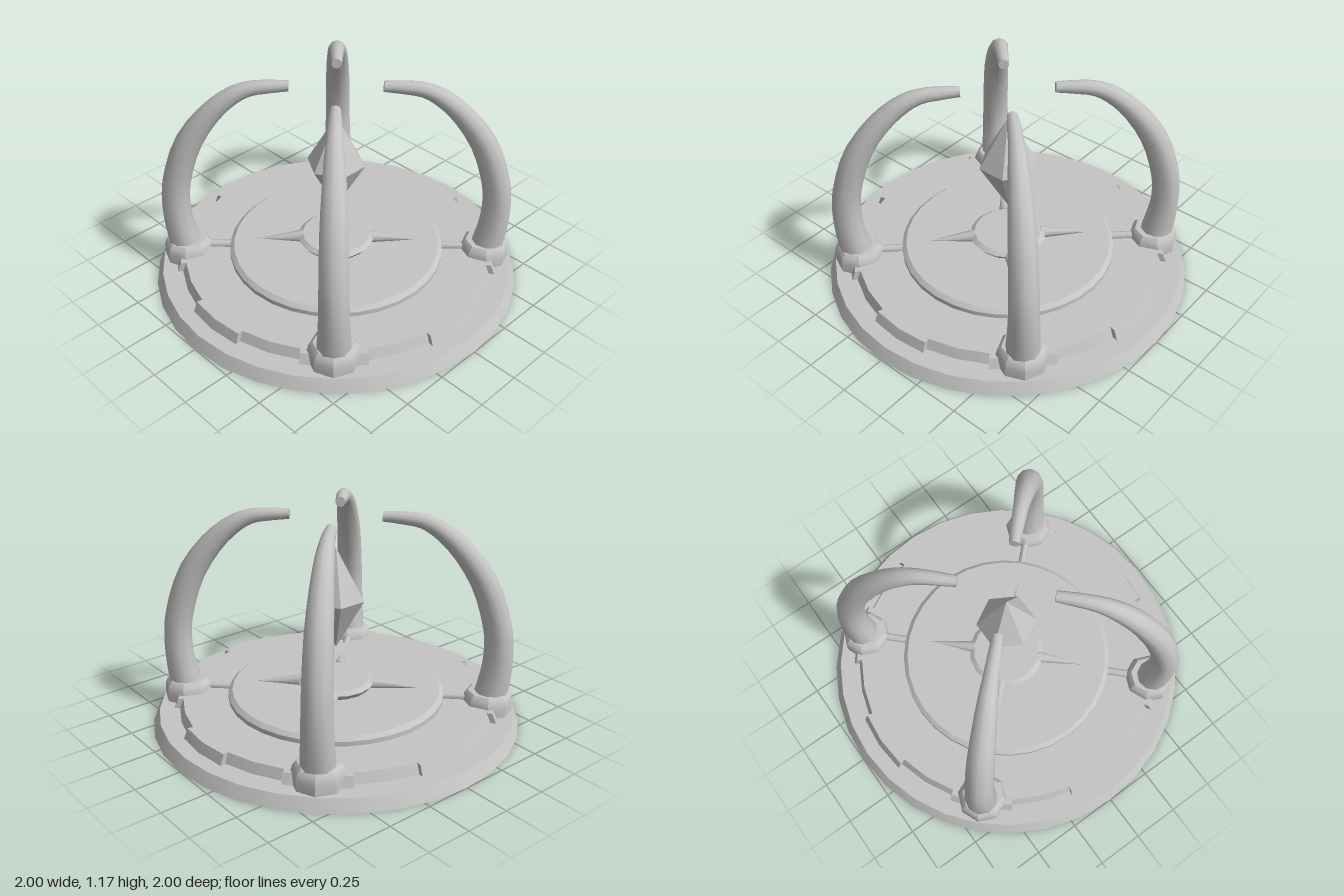
import * as THREE from 'three';
import { toCreasedNormals } from 'three/addons/utils/BufferGeometryUtils.js';

const V2 = (x, y) => new THREE.Vector2(x, y);
const stone = new THREE.MeshStandardMaterial({ color: 0xc4c4c4 });
stone.name = 'pale stone grey';

function mesh(name, geometry, parent) {
  const m = new THREE.Mesh(geometry, stone);
  m.name = name;
  parent.add(m);
  return m;
}

function turned(points, sides) {
  const g = new THREE.LatheGeometry(points.map(p => V2(p[0], p[1])), sides);
  return toCreasedNormals(g, 0.5);
}

// Middle step: a disc whose rim alternates between two radii, leaning inwards
function notchedDisc() {
  const outline = [];
  for (let k = 0; k < 16; k++) {
    const r = k % 2 ? 0.855 : 0.885;
    for (const d of [-0.5, 0, 0.5]) {
      const a = (k + d) * Math.PI / 8;
      outline.push(V2(Math.cos(a) * r, Math.sin(a) * r));
    }
  }
  const g = new THREE.ExtrudeGeometry(new THREE.Shape(outline), { depth: 0.055, bevelEnabled: false });
  g.rotateX(-Math.PI / 2);
  const p = g.attributes.position;
  for (let i = 0; i < p.count; i++) {
    if (p.getY(i) > 0.03) p.setXYZ(i, p.getX(i) * 0.975, p.getY(i), p.getZ(i) * 0.975);
  }
  return toCreasedNormals(g, 0.5);
}

// Curved tapering arm in the xy plane; each control point is (reach, height, thickness)
function armGeometry() {
  const path = new THREE.CatmullRomCurve3([
    [0.835, 0.12, 0.092], [0.865, 0.30, 0.082], [0.868, 0.45, 0.077], [0.85, 0.57, 0.075],
    [0.775, 0.79, 0.071], [0.65, 0.97, 0.06], [0.53, 1.075, 0.049], [0.44, 1.117, 0.04],
    [0.34, 1.13, 0.035], [0.24, 1.135, 0.028],
  ].map(p => new THREE.Vector3(...p)));
  const steps = 22, sides = 10, pos = [], idx = [];
  for (let i = 0; i <= steps; i++) {
    const c = path.getPoint(i / steps), t = path.getTangent(i / steps);
    const l = Math.hypot(t.x, t.y);
    for (let j = 0; j < sides; j++) {
      const a = j / sides * Math.PI * 2, n = Math.cos(a) * c.z;
      pos.push(c.x - t.y / l * n, c.y + t.x / l * n, Math.sin(a) * c.z);
      if (i < steps) {
        const p = i * sides + j, q = i * sides + (j + 1) % sides;
        idx.push(p, q, p + sides, q, q + sides, p + sides);
      }
    }
  }
  // Flat end at the tip
  const last = steps * sides, tip = path.getPoint(1);
  pos.push(tip.x, tip.y, 0);
  for (let j = 0; j < sides; j++) idx.push(last + sides, last + j, last + (j + 1) % sides);
  const g = new THREE.BufferGeometry();
  g.setAttribute('position', new THREE.Float32BufferAttribute(pos, 3));
  g.setIndex(idx);
  return toCreasedNormals(g, 0.8);
}

export function createModel() {
  const model = new THREE.Group();
  model.name = 'crystalShrine';

  // Stepped round platform
  const platform = new THREE.Group();
  platform.name = 'platform';
  model.add(platform);
  mesh('baseDisc', turned([[0, 0], [1, 0], [0.965, 0.065], [0, 0.065]], 32), platform);
  mesh('notchedStep', notchedDisc(), platform).position.y = 0.065;
  mesh('innerStep', turned([[0.59, 0.115], [0.59, 0.145], [0.567, 0.165], [0, 0.165]], 32), platform);
  mesh('centreBoss', turned([[0.18, 0.16], [0.21, 0.197], [0.185, 0.216], [0, 0.218]], 16), platform);

  // Four arms on the diagonals, with collar, rail and pointer
  const arm = armGeometry();
  const collar = turned([[0.135, 0.065], [0.135, 0.12], [0.125, 0.155], [0.105, 0.175], [0, 0.175]], 8);
  const rail = new THREE.CylinderGeometry(0.022, 0.022, 0.2, 8).rotateZ(Math.PI / 2);
  const pointer = new THREE.ConeGeometry(0.035, 0.26, 8).rotateZ(-Math.PI / 2 - 0.08);
  for (let i = 0; i < 4; i++) {
    const quarter = new THREE.Group();
    quarter.name = 'armAssembly' + (i + 1);
    quarter.rotation.y = Math.PI / 4 + i * Math.PI / 2;
    mesh('arm', arm, quarter);
    mesh('armCollar', collar, quarter).position.x = 0.825;
    mesh('rail', rail, quarter).position.set(0.64, 0.128, 0);
    mesh('pointer', pointer, quarter).position.set(0.31, 0.178, 0);
    model.add(quarter);
  }

  // Floating six-sided crystal
  const gem = new THREE.LatheGeometry([V2(0, 0.395), V2(0.158, 0.678), V2(0, 0.96)], 6);
  gem.rotateY(Math.PI / 6);
  mesh('crystal', toCreasedNormals(gem, 0.1), model);

  return model;
}
